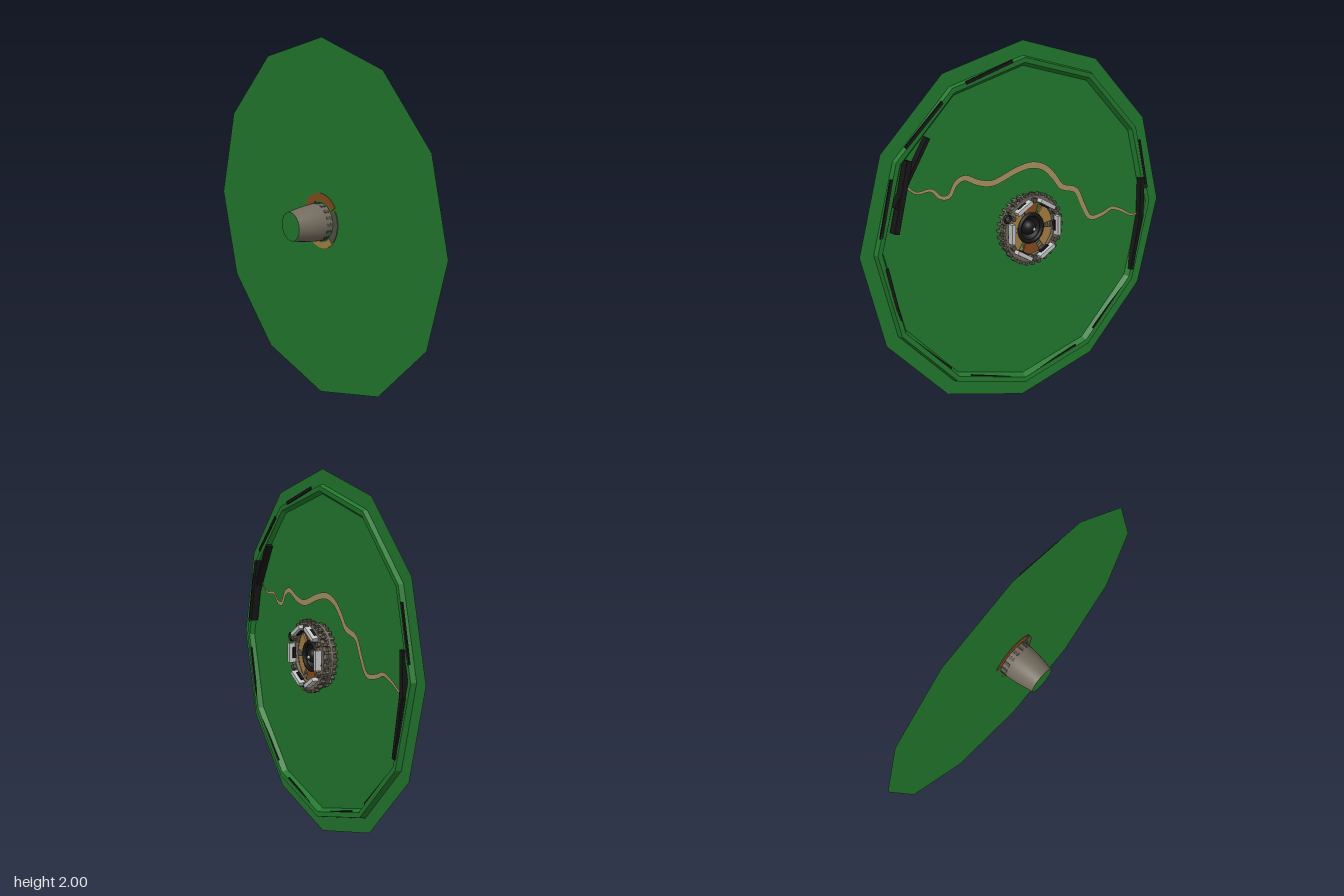
import * as THREE from 'three';

export function createModel() {
  const model = new THREE.Group();
  model.name = 'discWithHub';
  const root = new THREE.Group();
  root.name = 'body';
  root.position.y = 1; // everything below is built around the disc axis
  model.add(root);

  const mat = (name, color) => {
    const m = new THREE.MeshStandardMaterial({ color, side: THREE.DoubleSide });
    m.name = name;
    return m;
  };
  const green = mat('green', 0x22782d);
  const black = mat('black', 0x161616);
  const taupe = mat('taupe', 0x716a5d);
  const darkTaupe = mat('dark taupe', 0x544e45);
  const tan = mat('tan', 0xa67f40);
  const brown = mat('brown', 0x844a1e);
  const pale = mat('pale grey', 0xc4c4c6);
  const sand = mat('sand', 0xa89163);

  const add = (name, geo, material, x = 0, y = 0, z = 0, parent = root) => {
    const m = new THREE.Mesh(geo, material);
    m.name = name;
    m.position.set(x, y, z);
    parent.add(m);
    return m;
  };
  const flat = (geo) => {
    const g = geo.toNonIndexed();
    g.computeVertexNormals();
    return g;
  };
  // lathe about z, profile given as [radius, z]
  const turned = (pts, seg) =>
    new THREE.LatheGeometry(pts.map((p) => new THREE.Vector2(p[0], p[1])), seg).rotateX(Math.PI / 2);
  // flat ring segment with thickness, angles in degrees
  const arcPlate = (r0, r1, a0, a1, depth) => {
    const s = new THREE.Shape();
    const a = THREE.MathUtils.degToRad(a0), b = THREE.MathUtils.degToRad(a1);
    s.absarc(0, 0, r1, a, b, false);
    s.absarc(0, 0, r0, b, a, true);
    return new THREE.ExtrudeGeometry(s, { depth, bevelEnabled: false, curveSegments: 8 });
  };
  // straight bar between two points of the back face
  const bar = (name, x0, y0, x1, y1, width, z, depth) => {
    const m = add(name, new THREE.BoxGeometry(Math.hypot(x1 - x0, y1 - y0), width, depth), black,
      (x0 + x1) / 2, (y0 + y1) / 2, z);
    m.rotation.z = Math.atan2(y1 - y0, x1 - x0);
  };

  // twelve-sided disc
  add('disc', new THREE.RingGeometry(0.1, 1, 12), green, 0, 0, -0.038);

  // raised rim on the back, thicker towards the bottom
  const rimGeo = turned([[0.92, -0.038], [0.912, -0.064], [0.885, -0.062], [0.868, -0.039]], 12);
  const rp = rimGeo.attributes.position;
  for (let i = 0; i < rp.count; i++) {
    if (rp.getZ(i) < -0.05) rp.setZ(i, rp.getZ(i) + 0.007 * (rp.getY(i) - 0.4));
  }
  add('rim', flat(rimGeo), green);

  // dark streaks along the rim sides
  for (let i = 0; i < 12; i++) {
    const deg = 15 + i * 30;
    if (deg === 105 || deg === 135) continue;
    const a = THREE.MathUtils.degToRad(deg);
    const low = Math.sin(a) < 0;
    const r = low ? 0.858 : 0.884;
    const s = add('rimStreak', new THREE.BoxGeometry(0.018, 0.3, 0.008), black,
      r * Math.cos(a), r * Math.sin(a), low ? -0.064 : -0.062);
    s.rotation.z = a + (i % 2 ? 0.03 : -0.03);
  }

  // winding path across the back, widest in the middle
  const pathPoints = [
    [0.756, 0.352], [0.672, 0.281], [0.581, 0.282], [0.529, 0.237], [0.477, 0.233], [0.432, 0.298],
    [0.38, 0.318], [0.295, 0.282], [0.205, 0.265], [0.042, 0.314], [-0.055, 0.328], [-0.14, 0.304],
    [-0.211, 0.241], [-0.263, 0.179], [-0.367, 0.142], [-0.419, 0.05], [-0.477, -0.034],
    [-0.575, -0.025], [-0.633, -0.004], [-0.705, -0.026], [-0.789, -0.068], [-0.886, -0.06],
  ].map((p) => new THREE.Vector3(p[0], p[1], -0.046));
  const curve = new THREE.CatmullRomCurve3(pathPoints);
  const N = 90, pos = [], idx = [];
  for (let i = 0; i <= N; i++) {
    const t = i / N, p = curve.getPoint(t), d = curve.getTangent(t);
    const w = 0.005 + 0.013 * Math.sin(Math.PI * t);
    pos.push(p.x - d.y * w, p.y + d.x * w, p.z, p.x + d.y * w, p.y - d.x * w, p.z);
    if (i < N) {
      const k = i * 2;
      idx.push(k, k + 2, k + 1, k + 1, k + 2, k + 3);
    }
  }
  const pathGeo = new THREE.BufferGeometry();
  pathGeo.setAttribute('position', new THREE.Float32BufferAttribute(pos, 3));
  pathGeo.setIndex(idx);
  pathGeo.computeVertexNormals();
  add('windingPath', pathGeo, sand);

  // dark bars at both ends of the path
  bar('leftBar', 0.61, 0.56, 0.81, 0.23, 0.018, -0.06, 0.04);
  bar('leftBar', 0.73, 0.46, 0.815, 0.1, 0.03, -0.07, 0.045);
  bar('rightBar', -0.845, 0.15, -0.845, -0.09, 0.028, -0.06, 0.035);
  bar('rightBar', -0.84, -0.08, -0.78, -0.4, 0.022, -0.06, 0.035);

  // tapering nozzle at the front with a closed end
  add('nozzle', turned([[0.08, 0.17], [0.09, 0.12], [0.098, 0.07], [0.104, 0.01], [0.104, -0.05], [0.1, -0.1]], 32), taupe);
  add('nozzleEnd', new THREE.CircleGeometry(0.08, 32), green, 0, 0, 0.169);
  for (let i = 0; i < 16; i++) {
    const a = (i / 16) * Math.PI * 2;
    const s = add('nozzleSlot', new THREE.BoxGeometry(0.006, 0.018, 0.035), darkTaupe,
      0.103 * Math.cos(a), 0.103 * Math.sin(a), -0.018);
    s.rotation.z = a;
  }

  // collar pieces around the nozzle on the front face
  add('collarTop', arcPlate(0.115, 0.158, 38, 152, 0.004), brown, 0, 0, -0.038);
  add('collarBottom', arcPlate(0.115, 0.15, 228, 312, 0.004), tan, 0, 0, -0.038);
  add('collarSide', arcPlate(0.115, 0.148, -42, 32, 0.004), darkTaupe, 0, 0, -0.038);

  // hub on the back: two flanges joined by posts and ribs
  const hub = new THREE.Group();
  hub.name = 'hub';
  root.add(hub);
  add('innerFlange', arcPlate(0.15, 0.18, 0, 359.9, 0.016), taupe, 0, 0, -0.085, hub);
  add('outerFlange', arcPlate(0.145, 0.188, 0, 359.9, 0.02), taupe, 0, 0, -0.134, hub);
  add('hubWall', turned([[0.155, -0.04], [0.155, -0.125]], 32), darkTaupe, 0, 0, 0, hub);
  for (let i = 0; i < 28; i++) {
    const a = (i / 28) * Math.PI * 2, c = Math.cos(a), s = Math.sin(a);
    const post = add('hubPost', new THREE.BoxGeometry(0.02, 0.013, 0.08), taupe, 0.168 * c, 0.168 * s, -0.085, hub);
    const tooth = add('hubTooth', new THREE.BoxGeometry(0.024, 0.018, 0.026), darkTaupe, 0.19 * c, 0.19 * s, -0.122, hub);
    post.rotation.z = tooth.rotation.z = a;
  }

  // six pale blocks on the hub face, with dark clips between them
  for (let i = 0; i < 6; i++) {
    const a = (i / 6) * Math.PI * 2, c = Math.cos(a), s = Math.sin(a);
    const block = add('paleBlock', new THREE.BoxGeometry(0.022, 0.108, 0.04), pale, 0.152 * c, 0.152 * s, -0.15, hub);
    const foot = add('blockFoot', new THREE.BoxGeometry(0.03, 0.06, 0.018), black, 0.148 * c, 0.148 * s, -0.141, hub);
    block.rotation.z = foot.rotation.z = a;
    const b = a + Math.PI / 6;
    const clip = add('clip', new THREE.BoxGeometry(0.025, 0.022, 0.02), darkTaupe,
      0.16 * Math.cos(b), 0.16 * Math.sin(b), -0.142, hub);
    clip.rotation.z = b;
  }

  // coloured panels inside the hub
  for (let i = 0; i < 6; i++) {
    add('hubPanel', arcPlate(0.085, 0.145, i * 60 + 6, i * 60 + 52, 0.01), i % 3 === 1 ? brown : tan, 0, 0, -0.112, hub);
  }

  // dark core with a rim and a small pale tip
  add('coreRim', new THREE.TorusGeometry(0.075, 0.012, 8, 28), black, 0, 0, -0.112, hub);
  add('coreBowl', turned([[0.078, -0.112], [0.06, -0.07], [0.001, -0.05]], 28), black, 0, 0, 0, hub);
  add('coreBall', new THREE.SphereGeometry(0.042, 20, 14), black, 0, 0, -0.09, hub);
  add('coreTip', new THREE.SphereGeometry(0.009, 10, 8), pale, -0.01, -0.005, -0.13, hub);

  // small ring handle on the hub edge
  add('ringHandle', new THREE.TorusGeometry(0.02, 0.006, 8, 16), black, 0.175, 0.085, -0.142, hub);

  return model;
}
